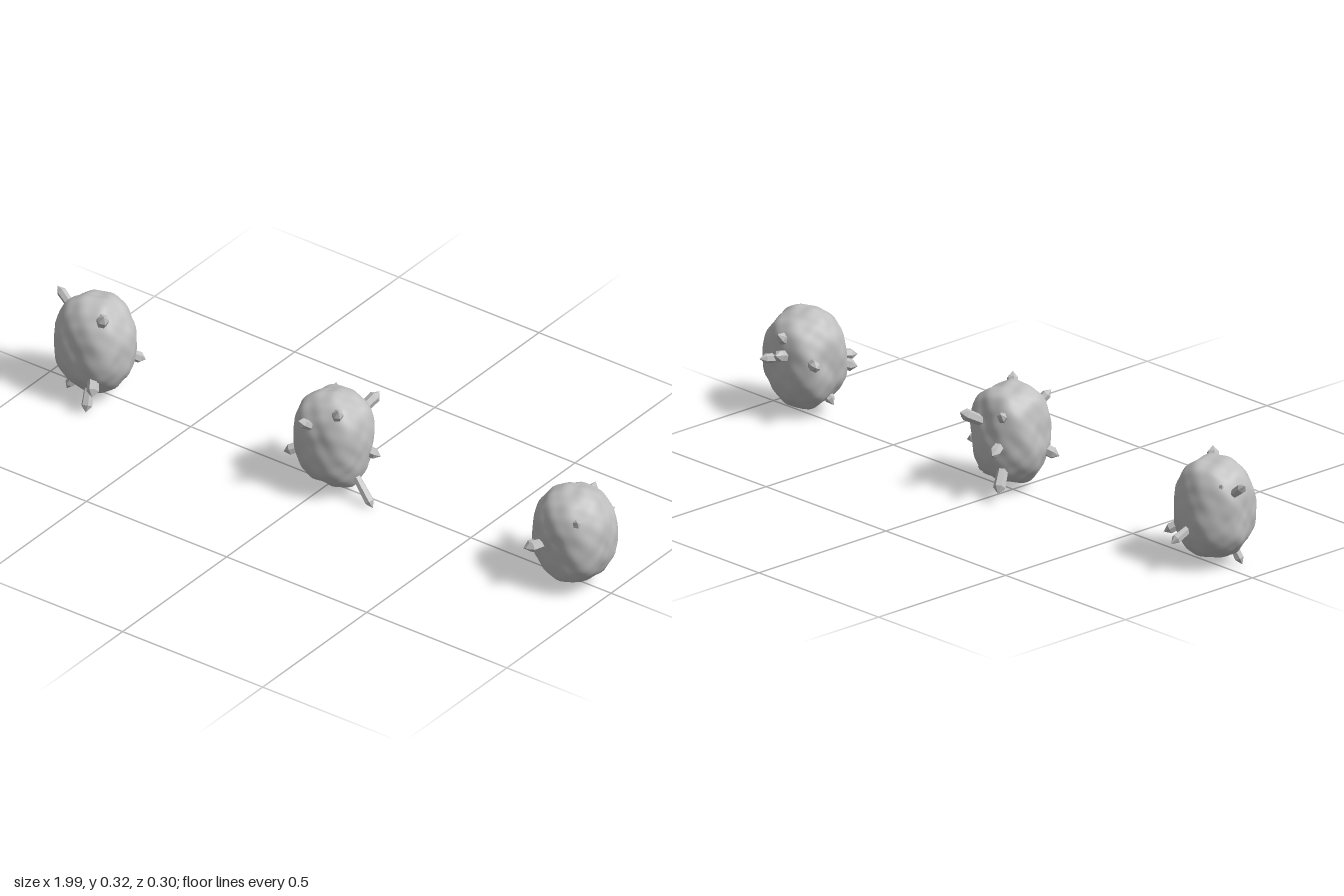
import * as THREE from 'three';
import { mergeVertices } from 'three/addons/utils/BufferGeometryUtils.js';

const stone = new THREE.MeshStandardMaterial({ color: 0xc0c0c0 });
stone.name = 'grey stone';

// Each rock: centre, half sizes, soft bumps [direction, height], crystal tips
const ROCKS = [
  {
    name: 'leftRock', centre: [-0.83, 0.18, 0.01], half: [0.112, 0.146, 0.106], seed: 1.3,
    bumps: [[-0.7, 0.65, 0.1, 0.09], [0.9, 0.05, 0.1, 0.04], [0.3, 0.95, -0.1, 0.04]],
    tips: [
      [-0.99, 0.295, -0.02], [-0.92, 0.285, -0.045], [-0.75, 0.33, 0.08],
      [-0.905, 0.015, 0.05], [-0.785, 0.013, 0.12], [-0.755, 0.08, 0.13],
      [-0.82, 0.107, -0.15], [-0.73, 0.105, -0.095],
    ],
  },
  {
    name: 'middleRock', centre: [0.02, 0.18, 0.008], half: [0.109, 0.145, 0.106], seed: 4.1,
    bumps: [[-0.5, 0.85, 0.1, 0.04], [0.5, -0.85, 0.1, 0.05], [-0.9, -0.2, 0.3, 0.03]],
    tips: [
      [-0.012, 0.285, 0.14], [0.09, 0.328, 0.085], [-0.105, 0.12, 0.085],
      [0.18, 0.012, 0.04], [0.15, 0.135, -0.04], [0.065, 0.268, -0.148],
      [-0.055, 0.28, -0.1], [-0.06, 0.165, -0.138], [-0.06, 0.043, -0.115],
    ],
  },
  {
    name: 'rightRock', centre: [0.878, 0.178, 0.01], half: [0.114, 0.147, 0.108], seed: 7.7,
    bumps: [[0.9, 0.1, 0, 0.04], [-0.6, 0.6, 0.5, 0.03], [0.6, 0.6, 0.5, 0.03]],
    tips: [
      [0.95, 0.28, 0.095], [0.81, 0.168, 0.153], [0.78, 0.145, 0.125],
      [0.78, 0.05, 0.03], [0.72, 0.21, -0.095], [0.845, 0.225, -0.138],
      [0.91, 0.2, -0.14], [0.86, 0.28, -0.115],
    ],
  },
];

// Smooth lumps over a unit direction
function lumps(d, s) {
  return 0.028 * Math.sin(5.1 * d.x + s) * Math.cos(4.3 * d.y - 2 * s)
    + 0.026 * Math.sin(6.7 * d.z + 3 * d.y + 2.3 * s)
    + 0.016 * Math.sin(11 * d.x - 4 * d.z + s) * Math.sin(10 * d.y + 1.7 * s)
    + 0.010 * Math.sin(15 * d.z + 6 * d.x - s) * Math.cos(14 * d.y + s);
}

// Slightly boxy ellipsoid with lumps and bumps, smooth shaded
function rockGeometry({ half, seed, bumps }) {
  const source = new THREE.IcosahedronGeometry(1, 14);
  source.deleteAttribute('normal');
  source.deleteAttribute('uv');
  const geo = mergeVertices(source, 1e-4);
  const pos = geo.attributes.position;
  const peaks = bumps.map(([x, y, z, h]) => [new THREE.Vector3(x, y, z).normalize(), h]);
  const d = new THREE.Vector3();
  const power = 2.45;
  for (let i = 0; i < pos.count; i++) {
    d.fromBufferAttribute(pos, i).normalize();
    const sum = Math.abs(d.x) ** power + Math.abs(d.y) ** power + Math.abs(d.z) ** power;
    let r = sum ** (-1 / power) + lumps(d, seed);
    for (const [p, h] of peaks) r += h * Math.exp((d.dot(p) - 1) * 9);
    pos.setXYZ(i, d.x * r * half[0], d.y * r * half[1], d.z * r * half[2]);
  }
  geo.computeVertexNormals();
  return geo;
}

// Six-sided crystal with its tip at the origin, pointing along +y
function crystalGeometry(radius) {
  const profile = [[0.85 * radius, -0.1], [radius, -0.02], [0, 0]]
    .map(([x, y]) => new THREE.Vector2(x, y));
  const geo = new THREE.LatheGeometry(profile, 6).toNonIndexed();
  geo.computeVertexNormals();
  return geo;
}

export function createModel() {
  const model = new THREE.Group();
  model.name = 'crystalRocks';
  const crystals = [0.0145, 0.0165, 0.018].map(crystalGeometry);
  const up = new THREE.Vector3(0, 1, 0);

  for (const spec of ROCKS) {
    const group = new THREE.Group();
    group.name = spec.name;
    const centre = new THREE.Vector3(...spec.centre);

    const body = new THREE.Mesh(rockGeometry(spec), stone);
    body.name = 'rockBody';
    body.position.copy(centre);
    group.add(body);

    // Crystals grow outward from the rock's centre
    spec.tips.forEach((t, i) => {
      const tip = new THREE.Vector3(...t);
      const crystal = new THREE.Mesh(crystals[i % 3], stone);
      crystal.name = 'crystal';
      crystal.position.copy(tip);
      crystal.quaternion.setFromUnitVectors(up, tip.clone().sub(centre).normalize());
      group.add(crystal);
    });
    model.add(group);
  }
  return model;
}
